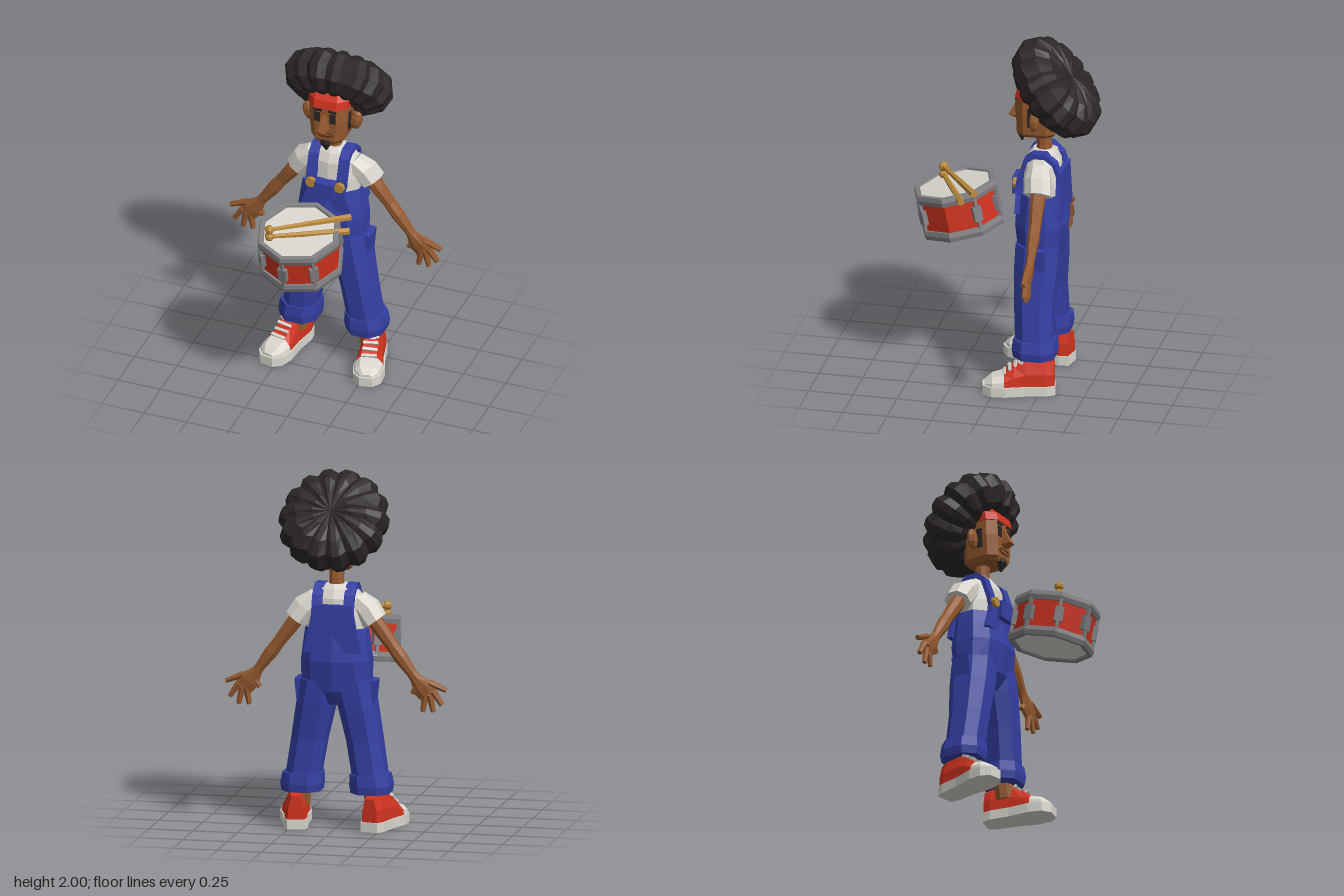
import * as THREE from 'three';

const paint = (name, color) => { const m = new THREE.MeshStandardMaterial({ color }); m.name = name; return m; };

// Faceted geometry joining equal-length rings of [x, y, z], closed at both ends
function loft(rings) {
  const n = rings[0].length, pos = [];
  const tri = (a, b, c) => pos.push(...a, ...b, ...c);
  for (let i = 0; i < rings.length - 1; i++) {
    for (let j = 0; j < n; j++) {
      const k = (j + 1) % n, a = rings[i][j], b = rings[i][k], c = rings[i + 1][k], d = rings[i + 1][j];
      tri(a, b, c); tri(a, c, d);
    }
  }
  const lo = rings[0], hi = rings[rings.length - 1];
  for (let j = 1; j < n - 1; j++) { tri(lo[0], lo[j + 1], lo[j]); tri(hi[0], hi[j], hi[j + 1]); }
  const g = new THREE.BufferGeometry();
  g.setAttribute('position', new THREE.Float32BufferAttribute(pos, 3));
  g.computeVertexNormals();
  return g;
}

// Horizontal ring; p below 1 makes it boxier
function ring(y, cx, cz, rx, rz, n = 8, p = 1) {
  const pw = v => Math.sign(v) * Math.abs(v) ** p;
  return Array.from({ length: n }, (_, i) => {
    const a = (i + 0.5) / n * Math.PI * 2;
    return [cx + rx * pw(Math.cos(a)), y, cz - rz * pw(Math.sin(a))];
  });
}
const stack = (rows, n, p) => loft(rows.map(r => ring(...r, n, p)));

function flat(g) {
  const f = g.index ? g.toNonIndexed() : g;
  f.computeVertexNormals();
  return f;
}
function add(parent, name, geo, mat, pos = [0, 0, 0], rot = [0, 0, 0]) {
  const m = new THREE.Mesh(flat(geo), mat);
  m.name = name;
  m.position.set(...pos);
  m.rotation.set(...rot);
  parent.add(m);
  return m;
}
const box = (w, h, d) => new THREE.BoxGeometry(w, h, d);
// Tapered rod from a to b
function rod(parent, name, a, b, ra, rb, n, mat) {
  const A = new THREE.Vector3(...a), d = new THREE.Vector3(...b).sub(A);
  const m = add(parent, name, new THREE.CylinderGeometry(rb, ra, d.length(), n), mat);
  m.position.copy(A).addScaledVector(d, 0.5);
  m.quaternion.setFromUnitVectors(new THREE.Vector3(0, 1, 0), d.normalize());
  return m;
}
const poly = pts => new THREE.Shape(pts.map(p => new THREE.Vector2(...p)));
const extrude = (pts, depth) => new THREE.ExtrudeGeometry(poly(pts), { depth, bevelEnabled: false });

export function createModel() {
  const skin = paint('skin brown', 0x965a2f), dark = paint('hair black', 0x2c2627), red = paint('red', 0xd0331f);
  const white = paint('off white', 0xdad7cf), blue = paint('denim blue', 0x3540a4), grey = paint('metal grey', 0x828083);
  const wood = paint('golden wood', 0xbb8a3a), lip = paint('lip brown', 0x5c3219);
  const root = new THREE.Group();
  root.name = 'drummer';
  const sub = (name, parent = root) => { const g = new THREE.Group(); g.name = name; parent.add(g); return g; };

  // Head
  const head = sub('head');
  add(head, 'face', stack([[1.455, 0, -0.18, 0.078, 0.1], [1.48, 0, -0.185, 0.103, 0.115], [1.6, 0, -0.185, 0.116, 0.117],
    [1.7, 0, -0.185, 0.114, 0.115], [1.77, 0, -0.21, 0.09, 0.08]], 8, 0.6), skin);
  add(head, 'headband', stack([[1.688, 0, -0.187, 0.123, 0.126], [1.735, 0, -0.19, 0.12, 0.115], [1.785, 0, -0.21, 0.1, 0.085]], 8, 0.6), red);
  add(head, 'neck', stack([[1.33, 0, -0.22, 0.048, 0.05], [1.4, 0, -0.22, 0.041, 0.042], [1.48, 0, -0.21, 0.042, 0.042]]), skin);
  add(head, 'nose', stack([[1.545, 0, -0.07, 0.026, 0.022], [1.56, 0, -0.06, 0.036, 0.055], [1.645, 0, -0.075, 0.014, 0.014]], 4), skin);
  add(head, 'goatee', stack([[1.405, 0, -0.095, 0.006, 0.006], [1.455, 0, -0.088, 0.036, 0.026], [1.48, 0, -0.085, 0.026, 0.018]], 6), dark);
  add(head, 'mouth', box(0.056, 0.01, 0.006), lip, [0, 1.506, -0.073]);
  for (const s of [1, -1]) {
    add(head, 'mouthCorner', box(0.026, 0.008, 0.006), lip, [s * 0.038, 1.513, -0.074], [0, 0, s * 0.6]);
    add(head, 'moustache', box(0.036, 0.006, 0.006), lip, [s * 0.022, 1.53, -0.073], [0, 0, -s * 0.2]);
    add(head, 'eyebrow', box(0.046, 0.014, 0.008), dark, [s * 0.043, 1.674, -0.073], [0, 0, -s * 0.08]);
    add(head, 'eye', box(0.034, 0.06, 0.006), dark, [s * 0.046, 1.628, -0.073]);
    add(head, 'sideburn', box(0.008, 0.11, 0.036), dark, [s * 0.111, 1.585, -0.165]);
    add(head, 'ear', new THREE.SphereGeometry(1, 7, 5).scale(0.04, 0.06, 0.028), skin, [s * 0.138, 1.575, -0.19], [0, 0, -s * 0.2]);
  }

  // Lobed round hair, tipped backwards
  const profile = [[0.001, -0.12], [0.1, -0.125], [0.2, -0.128], [0.28, -0.08], [0.31, 0], [0.278, 0.085], [0.2, 0.125], [0.1, 0.132], [0.001, 0.118]];
  const lobes = 14, seg = lobes * 3;
  const hairRings = profile.map(([r, h]) => Array.from({ length: seg }, (_, i) => {
    const a = -Math.PI / 2 + i / seg * Math.PI * 2, k = i % 3 ? 1.01 : 0.925;
    return [Math.cos(a) * r * k, h * (r > 0.01 && i % 3 === 0 ? 0.9 : 1), -Math.sin(a) * r * k];
  }));
  add(head, 'hair', loft(hairRings), dark, [0, 1.737, -0.287], [-0.876, 0, 0]);

  // Torso
  const torso = sub('torso');
  add(torso, 'shirt', stack([[1.06, 0, -0.215, 0.165, 0.11], [1.2, 0, -0.215, 0.168, 0.108], [1.3, 0, -0.215, 0.15, 0.1],
    [1.35, 0, -0.215, 0.115, 0.075], [1.375, 0, -0.215, 0.055, 0.055]], 10, 0.85), white);
  add(torso, 'overallsBody', stack([[0.7, 0, -0.21, 0.1, 0.08], [0.78, 0, -0.208, 0.2, 0.128], [0.95, 0, -0.21, 0.2, 0.152],
    [1.05, 0, -0.212, 0.188, 0.138], [1.13, 0, -0.215, 0.176, 0.122]], 10, 0.85), blue);
  add(torso, 'frontBib', extrude([[-0.15, 1.02], [0.15, 1.02], [0.112, 1.12], [0.1, 1.2], [-0.1, 1.2], [-0.112, 1.12]], 0.03), blue, [0, 0, -0.112]);
  add(torso, 'bibPocket', box(0.11, 0.1, 0.04), blue, [0, 1.15, -0.07]);
  add(torso, 'backBib', extrude([[-0.165, 1.0], [0.165, 1.0], [0.13, 1.15], [0.108, 1.27], [-0.108, 1.27], [-0.13, 1.15]], 0.03), blue, [0, 0, -0.342]);
  // Strap outline in side profile, extruded across its width
  const strapLine = [[-0.082, 1.17], [-0.09, 1.22], [-0.13, 1.34], [-0.175, 1.375], [-0.25, 1.375], [-0.31, 1.32], [-0.342, 1.22],
    [-0.322, 1.22], [-0.29, 1.31], [-0.245, 1.345], [-0.185, 1.345], [-0.15, 1.32], [-0.112, 1.21], [-0.105, 1.17]];

  // One side of the body, built once and mirrored
  function side(s) {
    const g = sub(s > 0 ? 'leftSide' : 'rightSide');
    g.scale.x = s;
    add(g, 'strap', extrude(strapLine, 0.058).rotateY(-Math.PI / 2), blue, [0.119, 0, 0]);
    add(g, 'button', new THREE.CylinderGeometry(0.03, 0.03, 0.022, 8), wood, [0.085, 1.182, -0.075], [Math.PI / 2, 0, 0]);

    // Arm hangs along its own -y
    const arm = sub('arm', g);
    arm.position.set(0.2, 1.2, -0.235);
    arm.rotation.z = 0.634;
    add(arm, 'sleeve', stack([[-0.035, 0, 0, 0.072, 0.078], [0.05, 0, 0.01, 0.077, 0.077], [0.13, -0.02, 0.02, 0.06, 0.062]], 8), white);
    add(arm, 'limb', stack([[-0.44, 0, -0.005, 0.034, 0.022], [-0.39, 0, -0.005, 0.029, 0.025], [-0.28, 0, -0.005, 0.04, 0.035],
      [-0.2, 0, -0.005, 0.036, 0.034], [-0.1, 0, 0, 0.043, 0.042], [0.02, 0, 0, 0.045, 0.045]], 8), skin);
    add(arm, 'palm', stack([[-0.535, 0.005, -0.005, 0.056, 0.02], [-0.49, 0.005, -0.005, 0.064, 0.025], [-0.42, 0, -0.005, 0.033, 0.024]], 8), skin);
    const tips = [[0.622, 0.8], [0.6, 0.715], [0.55, 0.675], [0.49, 0.675], [0.43, 0.775]];
    const knuckles = [[0.525, 0.84], [0.55, 0.79], [0.53, 0.77], [0.505, 0.765], [0.465, 0.825]];
    tips.forEach((t, i) => rod(g, 'finger', [...knuckles[i], -0.24], [...t, -0.24], 0.021, 0.014, 6, skin));

    // Trouser leg
    add(g, 'trouserLeg', stack([[0.25, 0.195, -0.21, 0.1, 0.108], [0.5, 0.155, -0.2, 0.103, 0.114], [0.7, 0.116, -0.205, 0.112, 0.128],
      [0.84, 0.09, -0.208, 0.115, 0.128]], 8, 0.85), blue);
    add(g, 'cuff', stack([[0.205, 0.195, -0.212, 0.115, 0.122], [0.25, 0.195, -0.212, 0.122, 0.13], [0.31, 0.19, -0.212, 0.114, 0.124]], 8, 0.85), blue);
    add(g, 'sidePocket', box(0.03, 0.13, 0.11), blue, [0.208, 0.775, -0.215], [0, 0, -0.1]);
    rod(g, 'ankle', [0.21, 0.12, -0.2], [0.2, 0.26, -0.21], 0.055, 0.055, 8, skin);

    // Shoe, toe along its own +z
    const shoe = sub('shoe', g);
    shoe.position.set(0.25, 0, -0.135);
    shoe.rotation.y = 0.22;
    const edge = [[0.05, 0.2], [0.068, 0.15], [0.07, 0.04], [0.088, -0.08], [0.078, -0.16], [0.038, -0.203]];
    const outline = [...edge, ...edge.map(([x, z]) => [-x, z]).reverse()];
    add(shoe, 'sole', extrude(outline, 0.055).rotateX(-Math.PI / 2), white);
    const arch = ([z, w, h]) => [[w, 0.05, z], [w * 0.93, 0.05 + (h - 0.05) * 0.5, z], [w * 0.55, h, z],
      [-w * 0.55, h, z], [-w * 0.93, 0.05 + (h - 0.05) * 0.5, z], [-w, 0.05, z]];
    add(shoe, 'upper', loft([[-0.195, 0.046, 0.185], [-0.15, 0.063, 0.195], [-0.03, 0.065, 0.195], [0.03, 0.073, 0.16], [0.09, 0.081, 0.115]].map(arch)), red);
    add(shoe, 'toeCap', loft([[0.085, 0.083, 0.118], [0.15, 0.075, 0.1], [0.192, 0.036, 0.07]].map(arch)), white);
    add(shoe, 'tongue', box(0.05, 0.016, 0.05), white, [0, 0.193, -0.018], [0.5, 0, 0]);
    for (let i = 0; i < 4; i++) {
      add(shoe, 'lace', box(0.085, 0.016, 0.016), white, [0, 0.192 - i * 0.022, -0.01 + i * 0.031], [0.6, 0, i % 2 ? 0.1 : -0.1]);
    }
  }
  side(1);
  side(-1);

  // Eight-sided drum, tipped towards the front
  const drum = sub('drum');
  drum.position.set(-0.012, 0.977, 0.265);
  drum.rotation.set(0.21, -0.09, 0, 'XYZ');
  add(drum, 'shell', new THREE.CylinderGeometry(0.222, 0.222, 0.22, 8), red);
  const hoop = [[0.205, -0.024], [0.236, -0.026], [0.243, 0], [0.236, 0.026], [0.212, 0.026], [0.205, 0.01], [0.205, -0.024]].map(p => new THREE.Vector2(...p));
  for (const s of [1, -1]) {
    add(drum, 'hoop', new THREE.LatheGeometry(hoop, 8), grey, [0, s * 0.104, 0], [0, 0, s > 0 ? 0 : Math.PI]);
    add(drum, 'drumSkin', new THREE.CylinderGeometry(0.214, 0.214, 0.012, 8), white, [0, s * 0.113, 0]);
  }
  for (const i of [0, 1, 3, 4, 5, 6, 7]) {
    const a = i * Math.PI / 4;
    add(drum, 'lug', box(0.05, 0.085, 0.036), grey, [Math.sin(a) * 0.222, 0, Math.cos(a) * 0.222], [0, a, 0]);
    add(drum, 'tensionRod', box(0.018, 0.18, 0.018), grey, [Math.sin(a) * 0.229, 0, Math.cos(a) * 0.229], [0, a, 0]);
  }

  // Drumsticks lying on the drum
  const sticks = sub('drumsticks');
  for (const [a, b] of [[[-0.15, 1.135, 0.385], [0.23, 1.15, 0.125]], [[-0.15, 1.09, 0.385], [0.25, 1.105, 0.195]]]) {
    rod(sticks, 'stick', a, b, 0.012, 0.021, 6, wood);
    add(sticks, 'stickTip', new THREE.SphereGeometry(0.027, 7, 5), wood, a);
  }
  return root;
}
